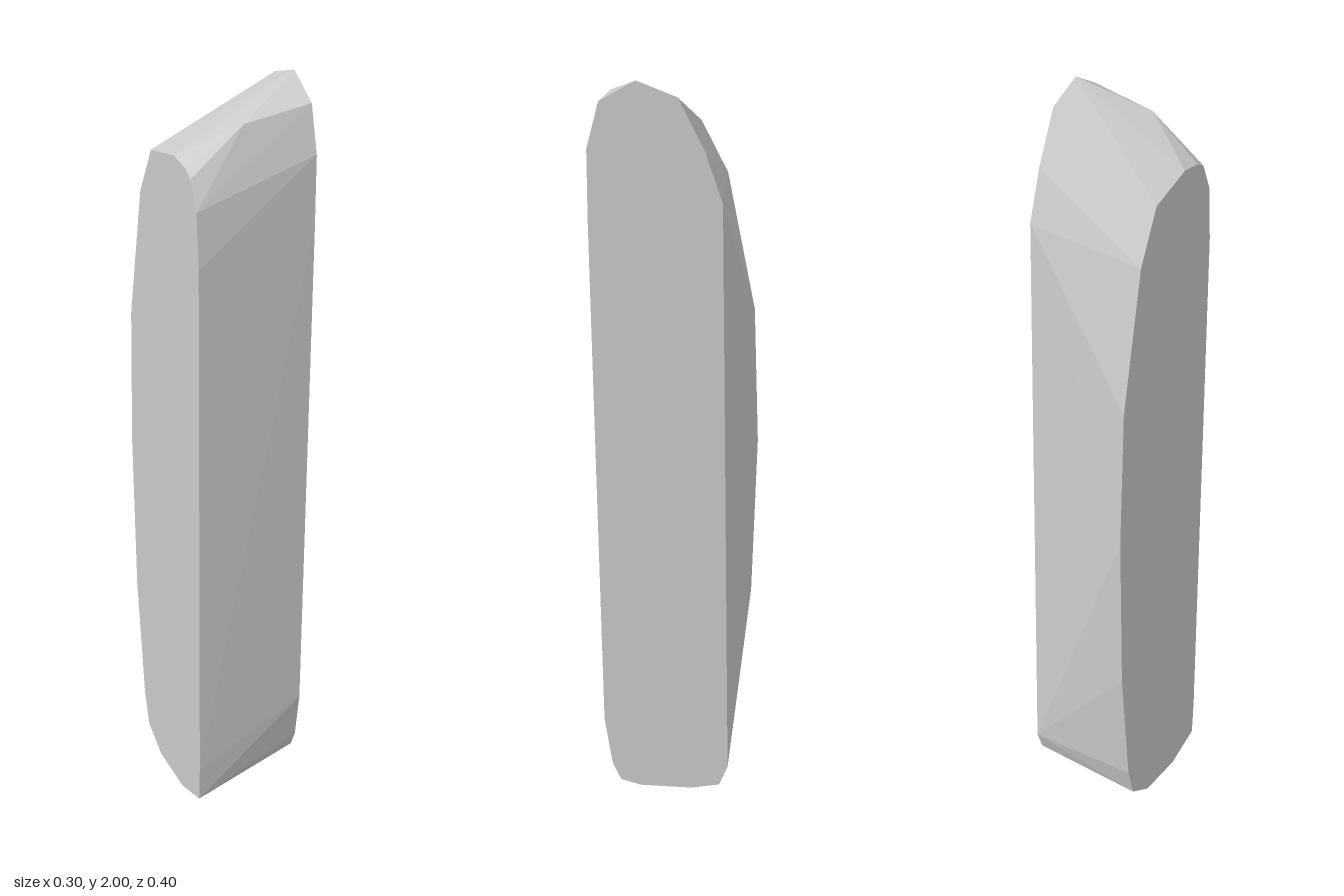
import * as THREE from 'three';
import { ConvexGeometry } from 'three/addons/geometries/ConvexGeometry.js';

// Outlines of the two flat side faces, as [z, y]
const tallSide = [
  [0.197, 1.66], [0.197, 1.836], [0.168, 1.95], [0.083, 2.0], [-0.011, 1.963],
  [-0.074, 1.836], [-0.116, 1.71], [-0.144, 0.132], [-0.122, 0.074],
  [-0.048, 0.06], [0.085, 0.063], [0.138, 0.079], [0.16, 0.13], [0.18, 0.27],
];
const shortSide = [
  [0.2, 1.61], [0.19, 1.75], [0.16, 1.82], [0.132, 1.836], [0.075, 1.845],
  [-0.05, 1.81], [-0.115, 1.68], [-0.186, 1.32], [-0.2, 0.95], [-0.19, 0.5],
  [-0.155, 0.15], [-0.13, 0.06], [-0.055, 0.01], [0.08, 0], [0.185, 0.035],
  [0.19, 0.14],
];

const onFace = (outline, x) => outline.map(([z, y]) => new THREE.Vector3(x, y, z));

export function createModel() {
  const group = new THREE.Group();
  group.name = 'slab';

  // Slanted slab: the hull between both sides, with one raised corner on the top front edge
  const points = [
    ...onFace(tallSide, 0.15),
    ...onFace(shortSide, -0.15),
    new THREE.Vector3(-0.015, 1.925, 0.155),
  ];
  const material = new THREE.MeshStandardMaterial({ color: 0xcccccc, flatShading: true });
  const body = new THREE.Mesh(new ConvexGeometry(points), material);
  body.name = 'slabBody';
  group.add(body);

  return group;
}
